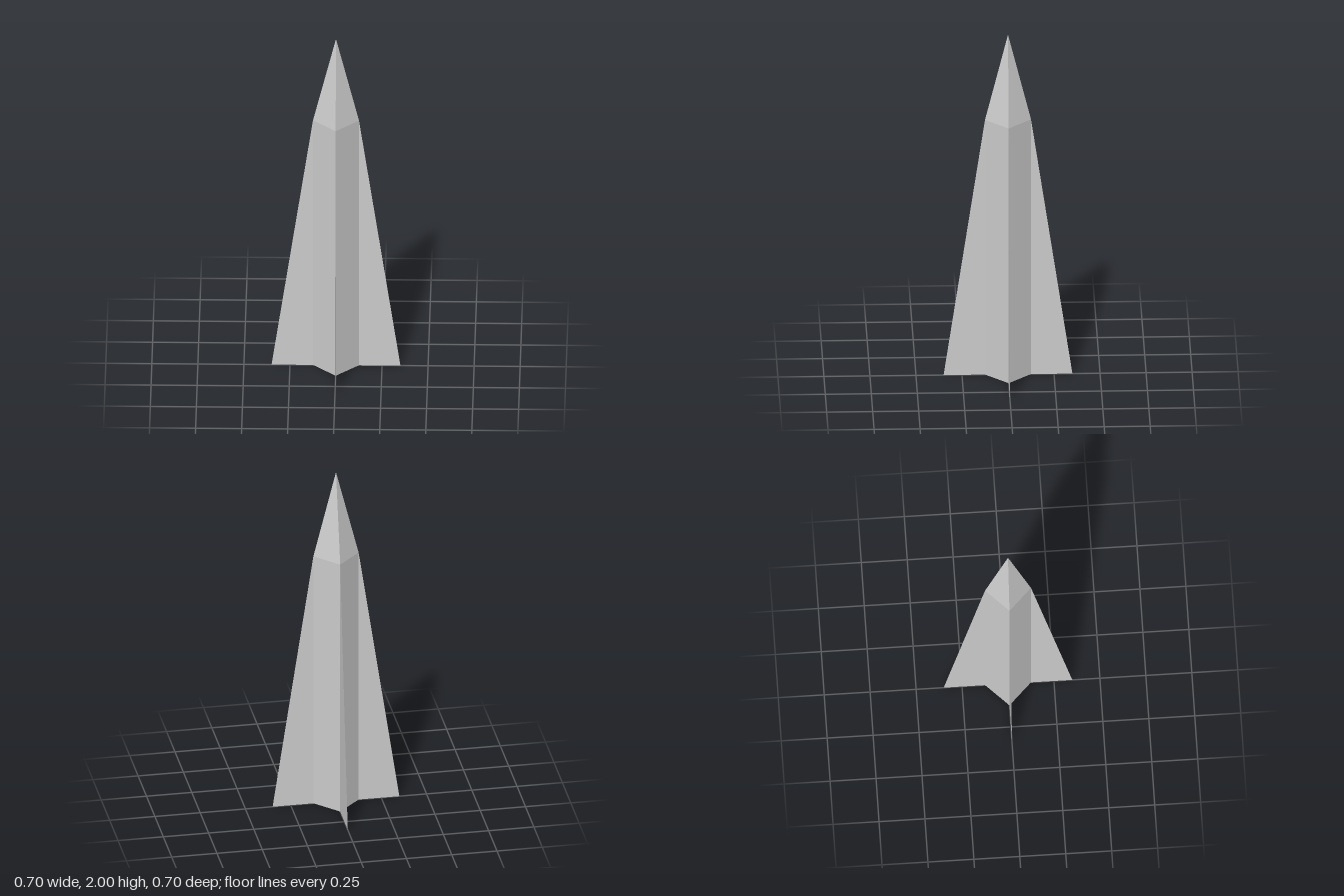
import * as THREE from 'three';

const RADIUS = 0.125, SHOULDER = 1.5, HEIGHT = 2, FIN_REACH = 0.35;

export function createModel() {
  const model = new THREE.Group();
  model.name = 'rocket';
  const material = new THREE.MeshStandardMaterial({
    color: 0xcccccc, flatShading: true, side: THREE.DoubleSide,
  });

  const add = (name, geometry, y = 0, turn = 0) => {
    const mesh = new THREE.Mesh(geometry, material);
    mesh.name = name;
    mesh.position.y = y;
    mesh.rotation.y = turn;
    model.add(mesh);
  };

  // Four-sided hollow body, open at the bottom
  add('body', new THREE.CylinderGeometry(RADIUS, RADIUS, SHOULDER, 4, 1, true), SHOULDER / 2);

  // Pyramid nose
  const noseHeight = HEIGHT - SHOULDER;
  add('nose', new THREE.ConeGeometry(RADIUS, noseHeight, 4, 1, true), SHOULDER + noseHeight / 2);

  // Flat triangular fin on each body corner
  const finGeometry = new THREE.ShapeGeometry(new THREE.Shape([
    new THREE.Vector2(RADIUS, 0),
    new THREE.Vector2(FIN_REACH, 0),
    new THREE.Vector2(RADIUS, SHOULDER),
  ]));
  ['leftFin', 'backFin', 'rightFin', 'frontFin'].forEach((name, i) => {
    add(name, finGeometry, 0, i * Math.PI / 2);
  });

  return model;
}
